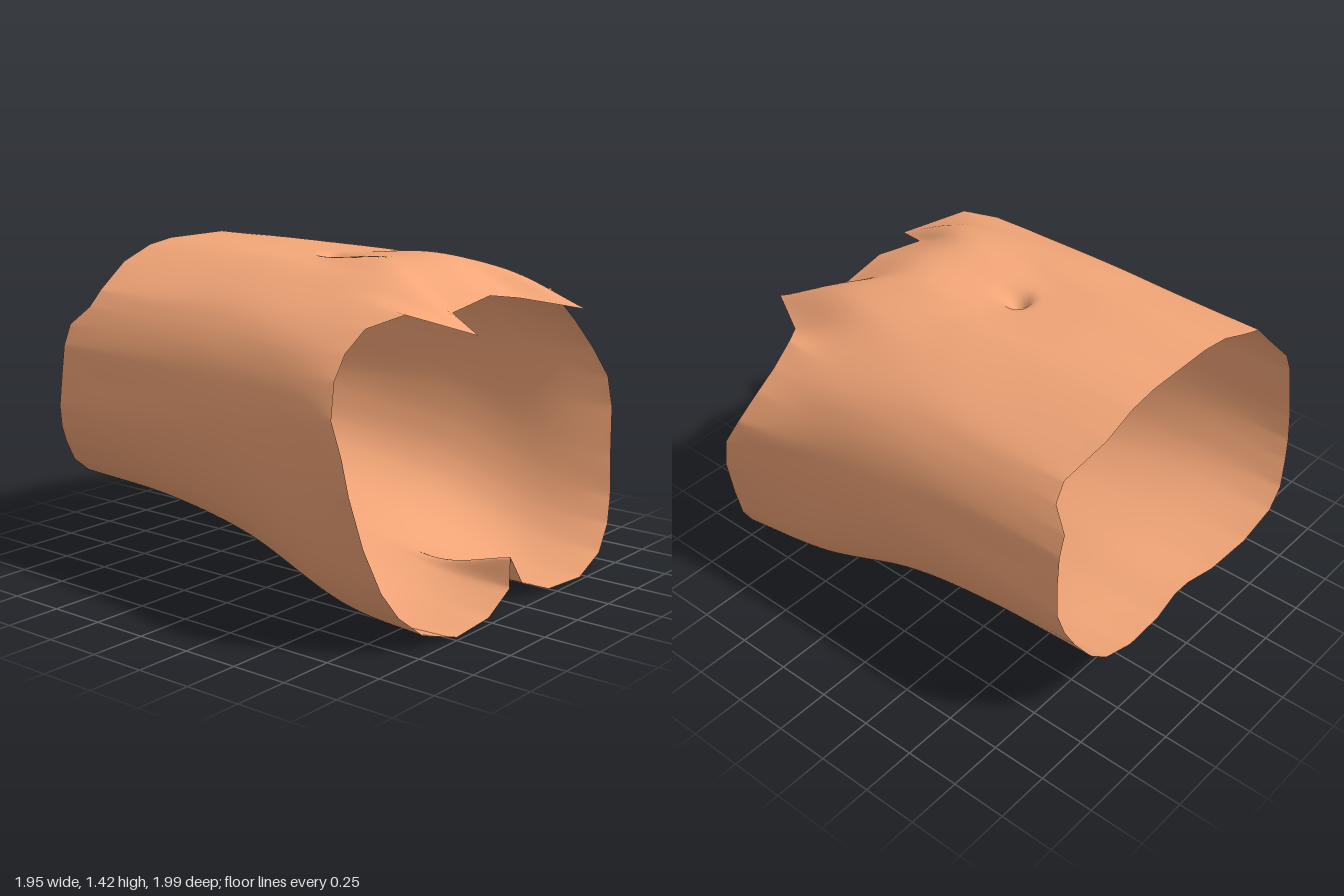
import * as THREE from 'three';

// Half outlines run from the middle of the back (bottom) round the left flank to the middle of the belly (top).
// Rear rim: x, y, z
const rear = [
  [0, .30, -.95], [.05, .298, -.95], [.2, .285, -.97], [.42, .31, -.99], [.6, .38, -1], [.69, .45, -.99],
  [.76, .55, -.96], [.8, .63, -.94], [.825, .73, -.92], [.815, .87, -.91], [.8, 1, -.905], [.765, 1.09, -.9],
  [.72, 1.17, -.82], [.66, 1.24, -.81], [.47, 1.34, -.86], [.31, 1.4, -.86], [.17, 1.42, -.86], [0, 1.42, -.86]];
// Waist and hip sections: x, y
const waist = [
  [0, .2], [.05, .197], [.2, .19], [.45, .2], [.62, .27], [.72, .37], [.79, .5], [.83, .63], [.85, .75],
  [.845, .88], [.82, 1], [.78, 1.1], [.72, 1.19], [.64, 1.265], [.47, 1.35], [.31, 1.39], [.17, 1.395], [0, 1.395]];
const hips = [
  [0, .12], [.05, .09], [.21, .04], [.47, .02], [.65, .09], [.75, .19], [.82, .32], [.865, .48], [.89, .66],
  [.893, .8], [.875, .93], [.83, 1.05], [.77, 1.15], [.68, 1.23], [.5, 1.32], [.36, 1.35], [.18, 1.41], [0, 1.41]];
// Front rim: x, y, z
const front = [
  [0, .2, .92], [.05, .08, .95], [.23, .01, .97], [.47, 0, .98], [.67, .06, .96], [.79, .16, .93],
  [.86, .27, .9], [.92, .45, .86], [.97, .66, .83], [.975, .8, .8], [.95, .93, .73], [.87, 1.06, .68],
  [.78, 1.15, .66], [.67, 1.23, .67], [.56, 1.19, .76], [.43, 1.2, .99], [.24, 1.25, .78], [0, 1.29, .79]];
// The torn front rim differs on the right side
const tornRight = { 14: [.55, 1.28, .77], 15: [.33, 1.19, .96], 16: [.25, 1.25, .78] };

// Lengthwise curve through one outline point, on side s (1 = left, -1 = right)
function lengthwise(i, s) {
  const b = rear[i], f = (s < 0 && tornRight[i]) || front[i];
  const at = (p, t) => new THREE.Vector3(s * p[0], p[1], THREE.MathUtils.lerp(b[2], f[2], t));
  const chest = [0, 1].map(k => THREE.MathUtils.lerp(b[k], waist[i][k], .25));
  return new THREE.CatmullRomCurve3([at(b, 0), at(chest, .27), at(waist[i], .52), at(hips[i], .8), at(f, 1)]);
}

function torsoGeometry(rows = 80, perSpan = 8) {
  const last = rear.length - 1;
  const rails = [];
  for (let i = 0; i <= last; i++) rails.push(lengthwise(i, 1));
  for (let i = last - 1; i > 0; i--) rails.push(lengthwise(i, -1));
  const cols = rails.length * perSpan;
  const pos = [], index = [];
  for (let r = 0; r <= rows; r++) {
    const knots = rails.map(c => c.getPoint(r / rows));
    const ring = new THREE.CatmullRomCurve3(knots, true);
    // Rounded along the body, straight cut edges at both rims
    const straight = Math.abs(2 * r / rows - 1) ** 6;
    for (let c = 0; c < cols; c++) {
      const k = Math.floor(c / perSpan);
      const chord = knots[k].clone().lerp(knots[(k + 1) % knots.length], c / perSpan - k);
      const p = ring.getPoint(c / cols).lerp(chord, straight);
      if (p.y > 1) {
        // Navel pit with a shallow dip in front of it
        p.y -= .07 * Math.exp(-((p.x / .045) ** 2) - ((p.z + .03) / .04) ** 2);
        p.y -= .02 * Math.exp(-((p.x / .06) ** 2) - ((p.z - .03) / .07) ** 2);
      }
      pos.push(p.x, Math.max(p.y, 0), p.z);
      if (r < rows) {
        const a = r * cols + c, b = r * cols + (c + 1) % cols;
        index.push(a, b, b + cols, a, b + cols, a + cols);
      }
    }
  }
  const g = new THREE.BufferGeometry();
  g.setAttribute('position', new THREE.Float32BufferAttribute(pos, 3));
  g.setIndex(index);
  g.computeVertexNormals();
  return g;
}

export function createModel() {
  const group = new THREE.Group();
  group.name = 'torsoShell';
  const skin = new THREE.MeshStandardMaterial({ color: 0xf2a577, side: THREE.DoubleSide });
  const torso = new THREE.Mesh(torsoGeometry(), skin);
  torso.name = 'torso';
  group.add(torso);
  return group;
}
